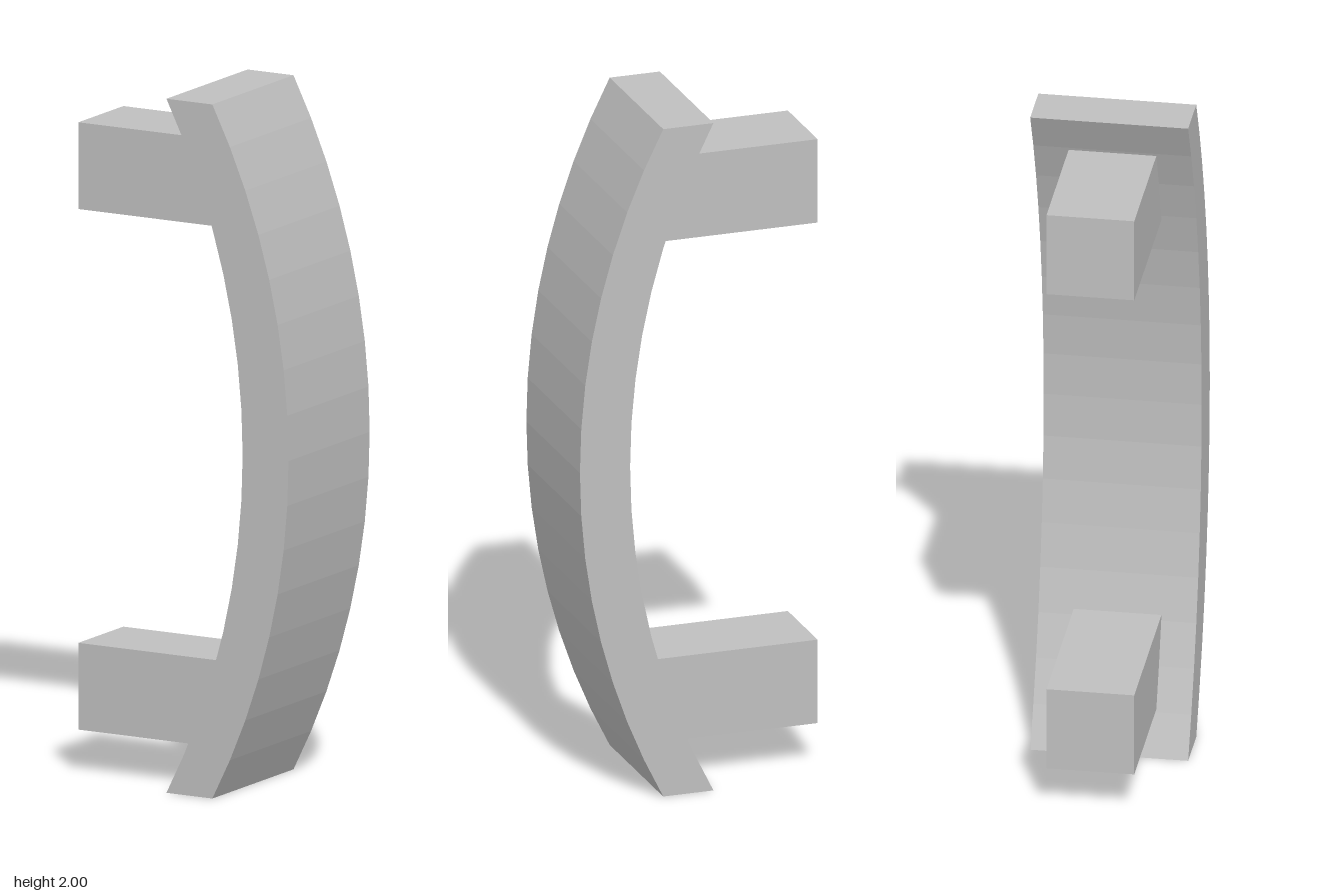
import * as THREE from 'three';

export function createModel() {
  const model = new THREE.Group();
  model.name = 'pullHandle';
  const metal = new THREE.MeshStandardMaterial({ color: 0xbfbfbf, flatShading: true });
  metal.name = 'satin grey metal';

  // Bowed grip: one arc, repeated with a sideways shift for the inner face
  const sagitta = 0.249, radius = (1 + sagitta ** 2) / (2 * sagitta);
  const halfAngle = Math.asin(1 / radius), segments = 16;
  const outerX = 0.373, thickness = 0.15, depth = 0.45;
  const arc = (apexX) => Array.from({ length: segments + 1 }, (_, i) => {
    const a = halfAngle * (2 * i / segments - 1);
    return new THREE.Vector2(apexX - radius * (1 - Math.cos(a)), 1 + radius * Math.sin(a));
  });
  const profile = new THREE.Shape([...arc(outerX), ...arc(outerX - thickness).reverse()]);
  const gripGeometry = new THREE.ExtrudeGeometry(profile, { depth, bevelEnabled: false });
  gripGeometry.translate(0, 0, -depth / 2);
  const grip = new THREE.Mesh(gripGeometry, metal);
  grip.name = 'curvedGrip';
  model.add(grip);

  // Square mounting posts, their ends sunk into the grip
  const left = -0.373, right = 0.135;
  for (const [name, y] of [['lowerPost', 0.25], ['upperPost', 1.75]]) {
    const post = new THREE.Mesh(new THREE.BoxGeometry(right - left, 0.25, 0.25), metal);
    post.position.set((left + right) / 2, y, 0);
    post.name = name;
    model.add(post);
  }
  return model;
}
